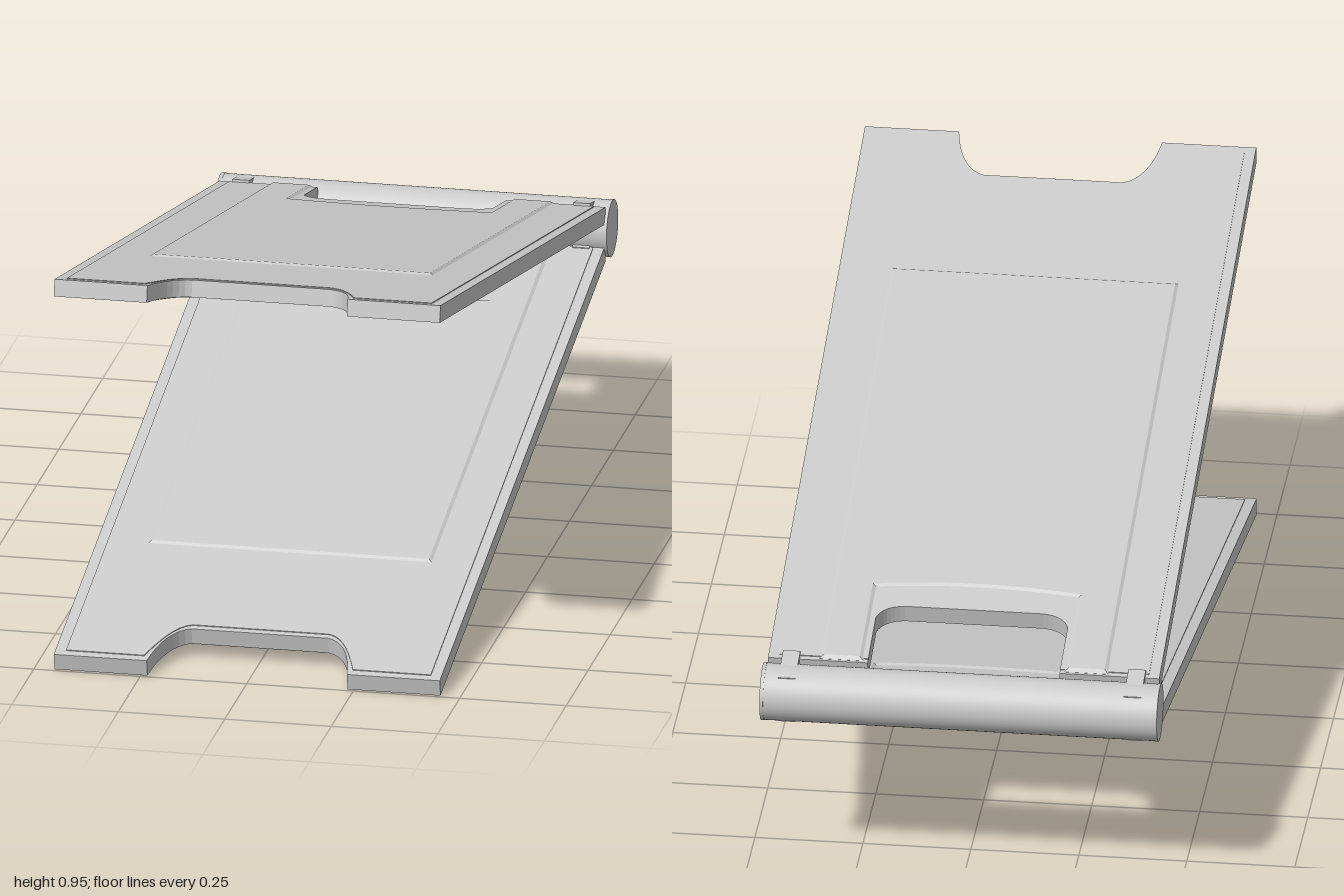
import * as THREE from 'three';

const TILT = 0.2145;        // half of the opening angle
const HINGE = { y: 0.477, z: -0.933, r: 0.066 };
const grey = new THREE.MeshStandardMaterial({ color: 0xcccccc, flatShading: true });
const smooth = new THREE.MeshStandardMaterial({ color: 0xcccccc });

// Board outline: x across, y along the board away from the hinge.
// The inset shrinks the outline for the raised field inside the rim.
function boardOutline(inset) {
  const w = 0.453 - inset, end = 1.981 - inset * 0.8, start = 0.055 + inset * 0.5;
  const foot = 0.235 + inset * 0.4, flat = 1.83 - inset * 0.6;
  const hand = 0.222, handEnd = 0.263;
  const s = new THREE.Shape();
  s.moveTo(hand, start);
  s.lineTo(w, start);
  s.lineTo(w, end);
  s.lineTo(foot, end);
  s.bezierCurveTo(0.225, 1.90, 0.20, flat + 0.01, 0.16, flat);
  s.lineTo(-0.16, flat);
  s.bezierCurveTo(-0.20, flat + 0.01, -0.225, 1.90, -foot, end);
  s.lineTo(-w, end);
  s.lineTo(-w, start);
  s.lineTo(-hand, start);
  // hand hole, open towards the hinge
  s.lineTo(-hand, handEnd - 0.045);
  s.quadraticCurveTo(-0.21, handEnd - 0.005, -0.16, handEnd);
  s.lineTo(0.16, handEnd);
  s.quadraticCurveTo(0.21, handEnd - 0.005, hand, handEnd - 0.045);
  s.closePath();
  return s;
}

// Raised middle panel with an arched cut around the hand hole
function panelOutline() {
  const w = 0.325, cut = 0.242, start = 0.07, end = 1.468;
  const s = new THREE.Shape();
  s.moveTo(cut, start);
  s.lineTo(w, start);
  s.lineTo(w, end);
  s.lineTo(-w, end);
  s.lineTo(-w, start);
  s.lineTo(-cut, start);
  s.lineTo(-cut, 0.335);
  s.quadraticCurveTo(0, 0.37, cut, 0.335);
  s.closePath();
  return s;
}

// One board; side is +1 for the upper and -1 for the lower one
function board(name, side) {
  const g = new THREE.Group();
  g.name = name;
  const middle = -side * 0.035;

  const layer = (part, shape, thickness, bevel) => {
    const geo = new THREE.ExtrudeGeometry(shape, {
      depth: thickness - 2 * bevel, curveSegments: 8, bevelEnabled: bevel > 0,
      bevelThickness: bevel, bevelSize: bevel * 1.6, bevelSegments: 1,
    });
    geo.translate(0, 0, middle - thickness / 2 + bevel);
    const m = new THREE.Mesh(geo, grey);
    m.name = part;
    g.add(m);
  };
  layer('boardRim', boardOutline(0), 0.04, 0);
  layer('boardField', boardOutline(0.025), 0.044, 0);
  layer('raisedPanel', panelOutline(), 0.053, 0.006);

  // tabs reaching into the hinge
  for (const x of [-0.4, 0.4]) {
    const tab = new THREE.Mesh(new THREE.BoxGeometry(0.04, 0.1, 0.052), grey);
    tab.name = 'hingeTab';
    tab.position.set(x, 0.025, -side * 0.037);
    g.add(tab);
  }
  g.position.set(0, HINGE.y, HINGE.z);
  g.rotation.x = Math.PI / 2 - side * TILT;
  return g;
}

export function createModel() {
  const model = new THREE.Group();
  model.name = 'foldingFloorSign';
  model.add(board('upperBoard', 1), board('lowerBoard', -1));

  // hinge barrel with end caps
  const barrel = (name, length, x, r) => {
    const geo = new THREE.CylinderGeometry(r, r, length, 48);
    geo.rotateZ(Math.PI / 2);
    const m = new THREE.Mesh(geo, smooth);
    m.name = name;
    m.position.set(x, HINGE.y, HINGE.z);
    model.add(m);
  };
  barrel('hingeBarrel', 0.906, 0, HINGE.r);
  for (const side of [-1, 1]) barrel('hingeCap', 0.008, side * 0.456, HINGE.r + 0.001);
  return model;
}
